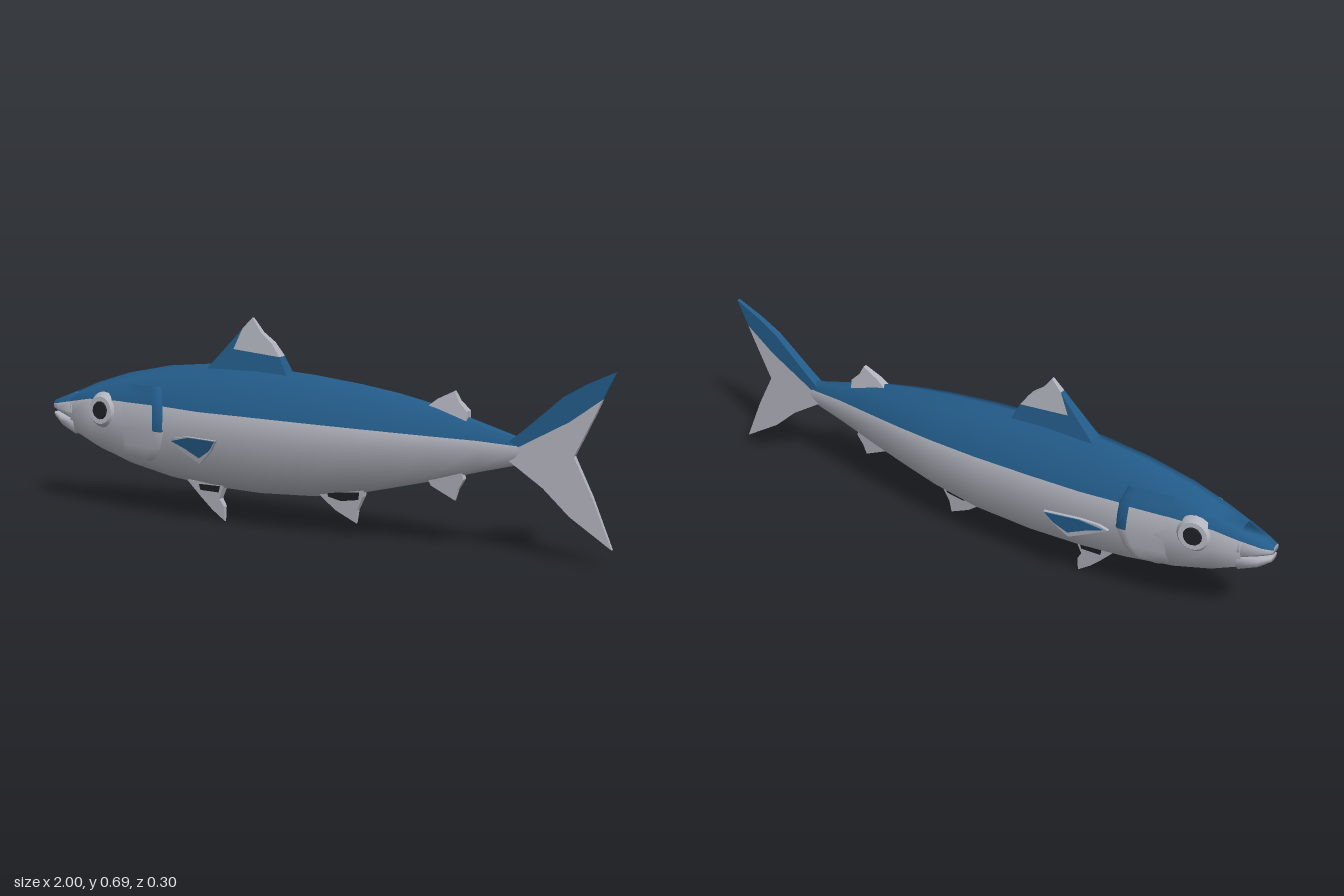
import * as THREE from 'three';

const mat = (name, color, side = THREE.FrontSide) => {
  const m = new THREE.MeshStandardMaterial({ color, side });
  m.name = name;
  return m;
};
const lerp = THREE.MathUtils.lerp;

// Linear lookup in rows sorted by their first column
function sample(rows, t) {
  let i = 1;
  while (i < rows.length - 1 && rows[i][0] < t) i++;
  const a = rows[i - 1], b = rows[i];
  const k = THREE.MathUtils.clamp((t - a[0]) / (b[0] - a[0]), 0, 1);
  return a.map((v, j) => lerp(v, b[j], k));
}

// Sections: x, top, colour split, bottom, half width
const BODY = [
  [-0.91, 0.395, 0.365, 0.25, 0.056], [-0.82, 0.432, 0.383, 0.203, 0.073],
  [-0.7, 0.472, 0.387, 0.163, 0.088], [-0.54, 0.507, 0.385, 0.13, 0.098],
  [-0.38, 0.524, 0.378, 0.113, 0.107], [-0.2, 0.526, 0.377, 0.108, 0.113],
  [0, 0.514, 0.374, 0.118, 0.112], [0.17, 0.496, 0.37, 0.147, 0.1],
  [0.3, 0.477, 0.366, 0.18, 0.084], [0.43, 0.45, 0.361, 0.213, 0.062],
  [0.57, 0.41, 0.356, 0.253, 0.037], [0.69, 0.375, 0.348, 0.285, 0.02],
  [0.74, 0.365, 0.345, 0.305, 0.008],
];
const UPPER_JAW = [
  [-1, 0.358, 0.347, 0.332, 0.02], [-0.97, 0.37, 0.352, 0.324, 0.037],
  [-0.9, 0.399, 0.367, 0.303, 0.058],
];
const LOWER_JAW = [
  [-0.997, 0.318, 0.314, 0.3, 0.02], [-0.96, 0.31, 0.303, 0.272, 0.04],
  [-0.9, 0.303, 0.295, 0.246, 0.056],
];
// Profiles: [height fraction, width fraction]; null height marks the colour split
const BODY_RING = [[1, 0], [0.93, 0.55], [null, 0.91], [0.48, 1], [0.12, 0.72], [0, 0]];
const UPPER_RING = [[1, 0], [0.9, 0.55], [null, 0.91], [0.25, 1], [0, 0.85], [0, 0]];
const LOWER_RING = [[1, 0], [1, 0.85], [null, 1], [0.5, 0.98], [0.12, 0.7], [0, 0]];

const halfRing = ([, top, split, bottom, w], ring) =>
  ring.map(([f, k]) => [f === null ? split : lerp(bottom, top, f), w * k]);

// Half width of the body at a given place
function side(x, y) {
  const pts = halfRing(sample(BODY, x), BODY_RING).reverse();
  return sample(pts, y)[1];
}

function geometryFrom(positions, upper, lower) {
  const g = new THREE.BufferGeometry();
  g.setAttribute('position', new THREE.Float32BufferAttribute(positions, 3));
  g.setIndex([...upper, ...lower]);
  g.addGroup(0, upper.length, 0);
  g.addGroup(upper.length, lower.length, 1);
  g.computeVertexNormals();
  return g;
}

// Closed skin through the sections, back colour above the split, belly colour below
function loft(sections, ring) {
  const pos = [], upper = [], lower = [], n = 10;
  for (const s of sections) {
    const half = halfRing(s, ring);
    half.forEach(([y, z]) => pos.push(s[0], y, z));
    for (let j = 4; j > 0; j--) pos.push(s[0], half[j][0], -half[j][1]);
  }
  for (let i = 0; i < sections.length - 1; i++) {
    for (let j = 0; j < n; j++) {
      const a = i * n + j, b = i * n + (j + 1) % n;
      (j < 2 || j > 7 ? upper : lower).push(a, b, a + n, b, b + n, a + n);
    }
  }
  const end = (sections.length - 1) * n;
  for (let j = 1; j < n - 1; j++) {
    lower.push(0, j + 1, j, end, end + j, end + j + 1);
  }
  return geometryFrom(pos, upper, lower);
}

// Raised gill cover with a curved rear edge and a coloured strip behind
function gillCover() {
  const rows = [0.17, 0.2, 0.24, 0.3, 0.345, 0.386, 0.415, 0.445];
  const cols = [0, 0.3, 0.6, 0.85, 1, 1.07];
  const edge = [[0.17, -0.63], [0.2, -0.57], [0.24, -0.54], [0.3, -0.522], [0.386, -0.527], [0.445, -0.545]];
  const pos = [], upper = [], lower = [], n = cols.length;
  for (const y of rows) {
    const rear = sample(edge, y)[1];
    for (const u of cols) {
      const x = lerp(-0.71, rear, u);
      pos.push(x, y, side(x, y) + (u > 1 ? -0.004 : -0.002 + 0.012 * u));
    }
  }
  for (let j = 0; j < rows.length - 1; j++) {
    for (let i = 0; i < n - 1; i++) {
      const a = j * n + i, b = a + n;
      const blue = j >= 5 || (j >= 3 && i >= 3);
      (blue ? upper : lower).push(a, a + 1, b, a + 1, b + 1, b);
    }
  }
  return geometryFrom(pos, upper, lower);
}

// Flat fin whose half thickness follows a rule
function finGeometry(points, thickness) {
  const shape = new THREE.Shape(points.map(p => new THREE.Vector2(...p)));
  const g = new THREE.ExtrudeGeometry(shape, { depth: 2, bevelEnabled: false });
  const p = g.attributes.position;
  for (let i = 0; i < p.count; i++) {
    p.setZ(i, (p.getZ(i) - 1) * thickness(p.getX(i), p.getY(i)));
  }
  g.computeVertexNormals();
  return g;
}

export function createModel() {
  const fish = new THREE.Group();
  fish.name = 'fish';
  const blue = mat('back blue', 0x235c8a, THREE.DoubleSide);
  const silver = mat('belly silver', 0xb2b4be, THREE.DoubleSide);
  const dark = mat('dark', 0x1d1f23);
  const add = (name, geometry, material, parent = fish) => {
    const m = new THREE.Mesh(geometry, material);
    m.name = name;
    parent.add(m);
    return m;
  };

  // Body and open mouth
  add('body', loft(BODY, BODY_RING), [blue, silver]);
  add('upperJaw', loft(UPPER_JAW, UPPER_RING), [blue, silver]);
  add('lowerJaw', loft(LOWER_JAW, LOWER_RING), [silver, silver]);

  // Dorsal fins
  const dorsal = (x, y) => 0.024 - (y - 0.52) * 0.11;
  add('dorsalFinBase', finGeometry([[-0.39, 0.505], [-0.28, 0.625], [-0.26, 0.648], [-0.29, 0.58],
    [-0.12, 0.565], [-0.09, 0.505]], dorsal), blue);
  add('dorsalFinTip', finGeometry([[-0.29, 0.58], [-0.26, 0.648], [-0.225, 0.685], [-0.19, 0.638],
    [-0.15, 0.607], [-0.12, 0.565]], dorsal), silver);
  add('rearDorsalFin', finGeometry([[0.39, 0.44], [0.43, 0.472], [0.485, 0.5], [0.5, 0.47], [0.53, 0.44],
    [0.53, 0.4]], (x, y) => 0.016 - (y - 0.44) * 0.15), silver);

  // Lower fins, with dark marks at the base of the first two
  const pelvic = (x, y) => 0.004 + y * 0.11;
  add('pelvicFin', finGeometry([[-0.47, 0.13], [-0.42, 0.075], [-0.38, 0.035], [-0.335, 0], [-0.335, 0.05],
    [-0.35, 0.075], [-0.33, 0.13]], pelvic), silver);
  add('pelvicFinMark', finGeometry([[-0.425, 0.12], [-0.42, 0.1], [-0.352, 0.098], [-0.345, 0.12]],
    (x, y) => pelvic(x, y) + 0.002), dark);
  const anal = (x, y) => 0.004 + (y - 0.045) * 0.11;
  add('analFin', finGeometry([[0.01, 0.15], [0.03, 0.12], [0.08, 0.08], [0.15, 0.045], [0.155, 0.09],
    [0.175, 0.135], [0.18, 0.17]], anal), silver);
  add('analFinMark', finGeometry([[0.05, 0.14], [0.055, 0.125], [0.1, 0.115], [0.16, 0.125], [0.165, 0.15]],
    (x, y) => anal(x, y) + 0.002), dark);
  add('rearAnalFin', finGeometry([[0.39, 0.23], [0.41, 0.195], [0.45, 0.175], [0.49, 0.155], [0.5, 0.19],
    [0.52, 0.225], [0.51, 0.26]], (x, y) => 0.004 + (y - 0.155) * 0.1), silver);

  // Forked tail
  const tail = x => 0.017 - (x - 0.69) * 0.035;
  add('tailUpperEdge', finGeometry([[0.67, 0.36], [0.72, 0.402], [0.84, 0.51], [0.91, 0.552], [1, 0.595],
    [0.96, 0.51], [0.86, 0.435], [0.7, 0.345]], tail), blue);
  add('tailFin', finGeometry([[0.67, 0.34], [0.7, 0.345], [0.86, 0.435], [0.96, 0.51], [0.94, 0.465],
    [0.875, 0.33], [0.935, 0.21], [1, 0.055], [0.865, 0.145], [0.78, 0.225], [0.67, 0.3]], tail), silver);

  // Gill cover, eye and pectoral fin on both sides
  for (const s of [1, -1]) {
    const half = new THREE.Group();
    half.name = s > 0 ? 'leftSide' : 'rightSide';
    half.scale.z = s;
    fish.add(half);
    add('gillCover', gillCover(), [blue, silver], half);

    const eye = new THREE.Group();
    eye.name = 'eye';
    eye.position.set(-0.765, 0.35, side(-0.765, 0.35));
    eye.rotation.set(-0.08, -0.12, 0);
    half.add(eye);
    const rim = new THREE.CylinderGeometry(0.046, 0.062, 0.02, 20).rotateX(Math.PI / 2);
    add('eyeRim', rim, silver, eye);
    const pupil = new THREE.CylinderGeometry(0.028, 0.031, 0.006, 14).rotateX(Math.PI / 2);
    add('pupil', pupil, dark, eye).position.z = 0.012;

    // Pectoral fin leans outwards towards its tip
    const pectoral = (name, points, thick, out, material) => {
      const g = finGeometry(points, () => thick);
      const p = g.attributes.position;
      for (let i = 0; i < p.count; i++) {
        const x = p.getX(i), y = p.getY(i);
        p.setZ(i, p.getZ(i) + out + 0.102 + 0.19 * (x + 0.49) + 0.15 * (y - 0.29));
      }
      g.computeVertexNormals();
      add(name, g, material, half);
    };
    pectoral('pectoralFin', [[-0.49, 0.275], [-0.46, 0.29], [-0.4, 0.298], [-0.285, 0.298], [-0.31, 0.26],
      [-0.36, 0.212], [-0.43, 0.245]], 0.005, 0, silver);
    pectoral('pectoralFinPatch', [[-0.475, 0.276], [-0.4, 0.296], [-0.29, 0.296], [-0.315, 0.262],
      [-0.36, 0.232], [-0.42, 0.258]], 0.002, 0.006, blue);
  }
  return fish;
}
